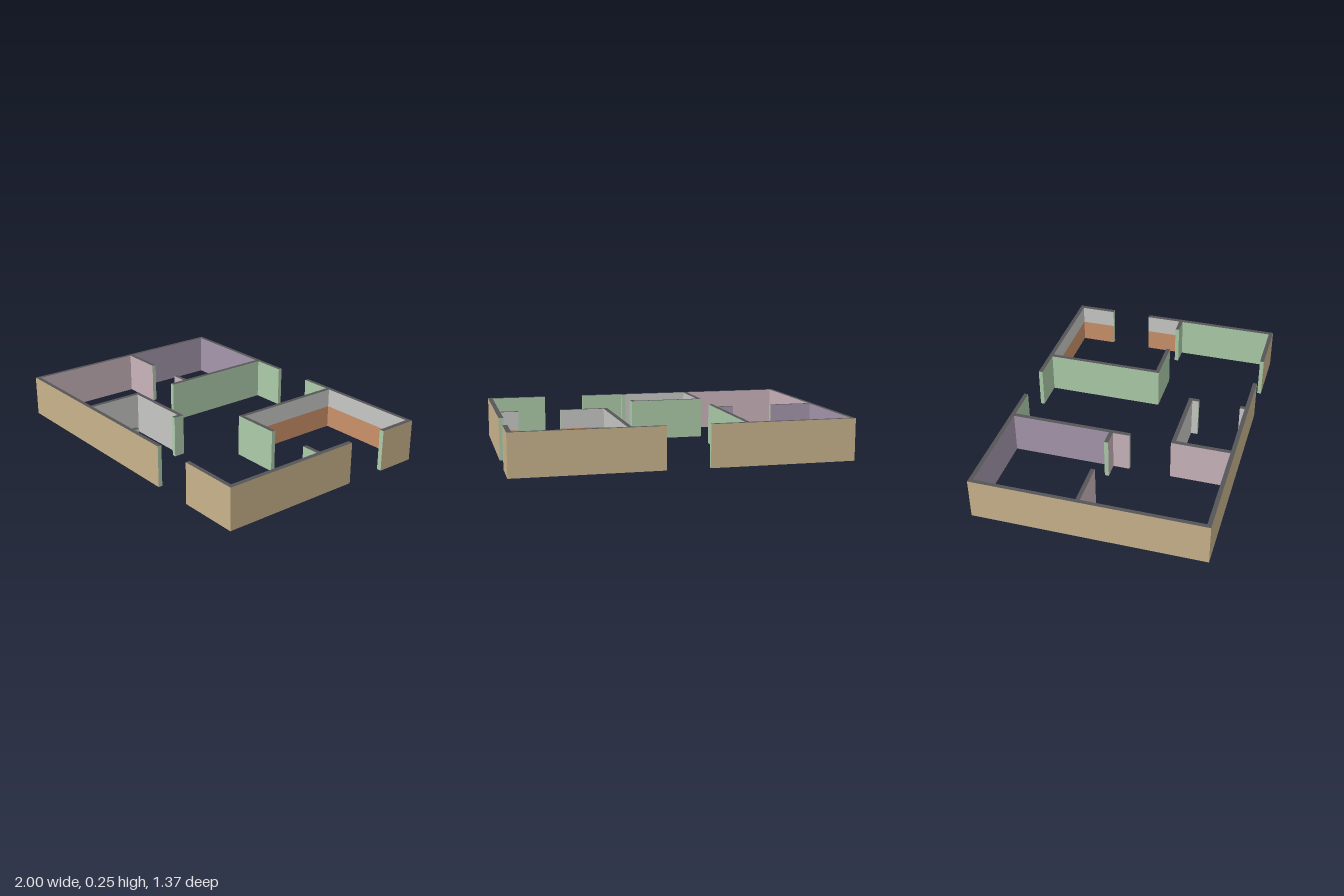
import * as THREE from 'three';

const HEIGHT = 0.25, WAINSCOT = 0.136;

const paint = (name, color) => {
  const m = new THREE.MeshStandardMaterial({ color });
  m.name = name;
  return m;
};

// Wall sections as closed plan outlines: [x, z, finish of the face starting here].
// 'dado' faces are orange below and grey above.
const SECTIONS = {
  westWalls: [
    // outside
    [-0.13, -0.685, 'tan'], [-1, -0.685, 'tan'], [-1, 0.685, 'tan'],
    // hall side of the front wall
    [0.37, 0.685, 'green'], [0.37, 0.66, 'green'], [0.105, 0.66, 'green'], [0.105, 0.63, 'green'],
    // small closet
    [0.08, 0.63, 'grey'], [0.08, 0.66, 'grey'], [-0.338, 0.66, 'grey'], [-0.338, 0.335, 'grey'],
    [0.08, 0.335, 'grey'], [0.08, 0.375, 'green'], [0.105, 0.375, 'green'], [0.105, 0.31, 'green'],
    // front room
    [-0.364, 0.31, 'pink'], [-0.364, 0.66, 'pink'], [-0.976, 0.66, 'pink'], [-0.976, -0.04, 'pink'],
    [-0.71, -0.04, 'green'],
    // back room
    [-0.71, -0.065, 'purple'], [-0.976, -0.065, 'purple'], [-0.976, -0.66, 'purple'],
    [-0.364, -0.66, 'purple'], [-0.364, -0.065, 'purple'], [-0.46, -0.065, 'green'],
    // doorway and hall
    [-0.46, -0.04, 'pink'], [-0.364, -0.04, 'pink'], [-0.364, 0.06, 'green'],
    [-0.338, 0.06, 'green'], [-0.338, -0.66, 'green'], [-0.13, -0.66, 'green'],
  ],
  northEastWalls: [
    [1, -0.685, 'tan'], [0.125, -0.685, 'green'], [0.125, -0.66, 'green'], [0.316, -0.66, 'green'],
    [0.316, 0.06, 'green'], [0.61, 0.06, 'green'],
    [0.61, 0.035, 'dado'], [0.342, 0.035, 'dado'], [0.342, -0.66, 'dado'], [0.972, -0.66, 'dado'],
    [0.972, -0.44, 'green'], [1, -0.44, 'tan'],
  ],
  southEastWalls: [
    [0.625, 0.685, 'tan'], [1, 0.685, 'tan'], [1, -0.185, 'green'],
    [0.972, -0.185, 'dado'], [0.972, 0.035, 'dado'], [0.865, 0.035, 'green'],
    [0.865, 0.06, 'green'], [0.972, 0.06, 'green'], [0.972, 0.66, 'green'], [0.625, 0.66, 'green'],
  ],
};

// Upright quads facing away from the wall core
function panels(list) {
  const pos = [], index = [];
  for (const [a, b, y0, y1] of list) {
    const n = pos.length / 3;
    pos.push(a[0], y0, a[1], b[0], y0, b[1], b[0], y1, b[1], a[0], y1, a[1]);
    index.push(n, n + 1, n + 2, n, n + 2, n + 3);
  }
  const g = new THREE.BufferGeometry();
  g.setAttribute('position', new THREE.Float32BufferAttribute(pos, 3));
  g.setIndex(index);
  g.computeVertexNormals();
  return g;
}

// Flat cap over an outline, facing up (side = 1) or down (side = -1)
function cap(outline, side) {
  const shape = new THREE.Shape(outline.map(([x, z]) => new THREE.Vector2(x, -side * z)));
  const g = new THREE.ShapeGeometry(shape).rotateX(-side * Math.PI / 2);
  return g.translate(0, side > 0 ? HEIGHT : 0, 0);
}

export function createModel() {
  const model = new THREE.Group();
  model.name = 'floorPlan';
  const finishes = {
    tan: paint('exteriorTan', 0xc9b38c),
    green: paint('hallGreen', 0xabcba9),
    grey: paint('plasterGrey', 0xc7c7c5),
    orange: paint('wainscotOrange', 0xca9169),
    pink: paint('roomPink', 0xc9b4bb),
    purple: paint('roomPurple', 0xa496ab),
  };
  const dark = paint('cutWallDark', 0x555557);

  for (const [name, outline] of Object.entries(SECTIONS)) {
    const section = new THREE.Group();
    section.name = name;
    const add = (part, geometry, material) => {
      const mesh = new THREE.Mesh(geometry, material);
      mesh.name = part;
      section.add(mesh);
    };

    // Sort the wall faces by finish
    const faces = {};
    const put = (finish, ...face) => (faces[finish] ??= []).push(face);
    outline.forEach((a, i) => {
      const b = outline[(i + 1) % outline.length];
      if (a[2] === 'dado') {
        put('orange', a, b, 0, WAINSCOT);
        put('grey', a, b, WAINSCOT, HEIGHT);
      } else put(a[2], a, b, 0, HEIGHT);
    });
    for (const finish in faces) add(finish + 'WallFaces', panels(faces[finish]), finishes[finish]);

    add('wallTop', cap(outline, 1), dark);
    add('wallBase', cap(outline, -1), dark);
    model.add(section);
  }
  return model;
}
